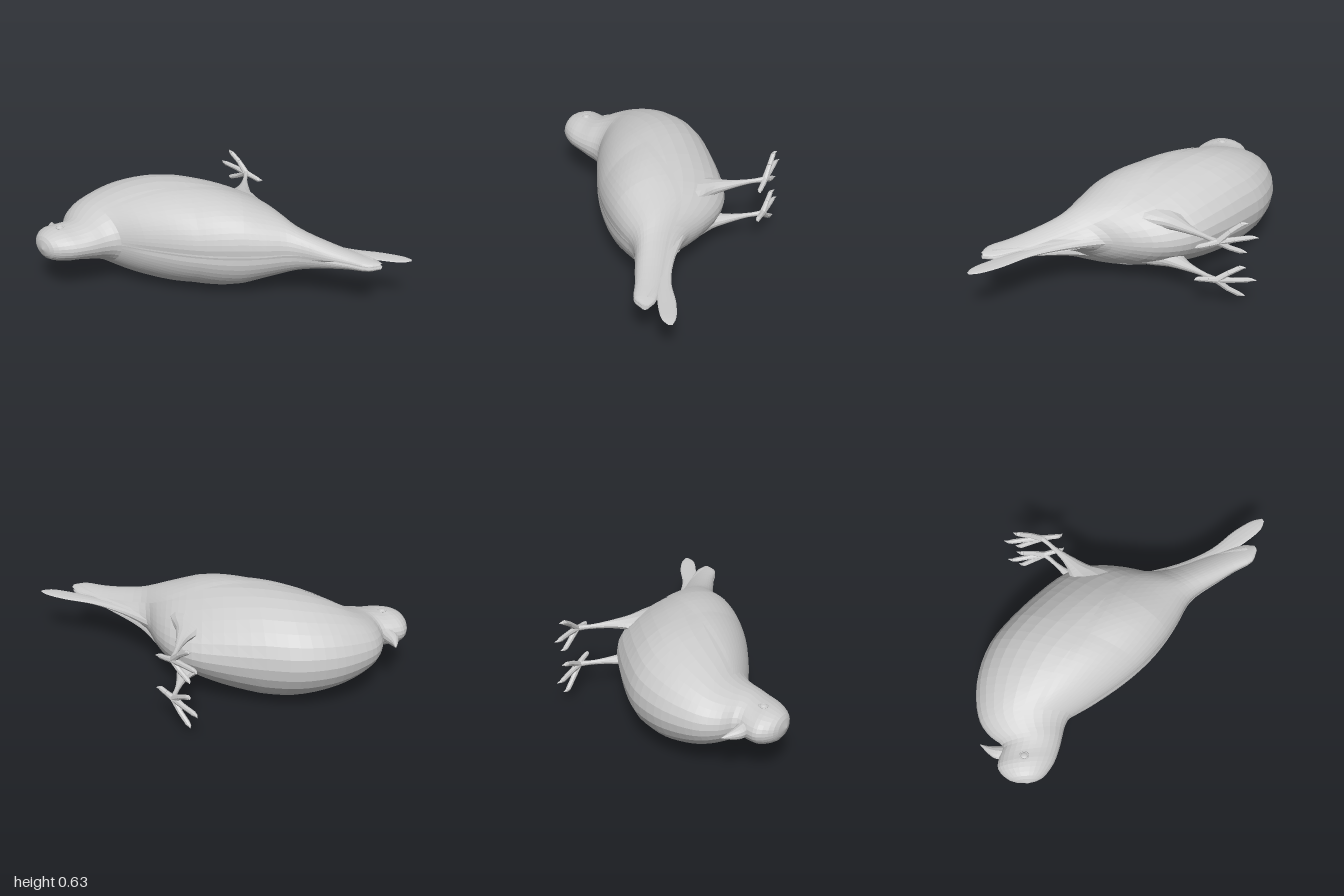
import * as THREE from 'three';

const material = new THREE.MeshStandardMaterial({ color: 0xcccccc, flatShading: true });
const thin = new THREE.MeshStandardMaterial({ color: 0xcccccc, flatShading: true, side: THREE.DoubleSide });

// Skin cross-sections [backX, backZ, frontX, frontZ, halfWidth]. ring(t, u) gives the
// angle (0 = back, PI = belly), scale, sideways shift and egg shape (wide back, narrow belly).
function loft(name, sections, steps, sides, ring, mat = material) {
  const back = new THREE.CatmullRomCurve3(sections.map(s => new THREE.Vector3(s[0], s[4], s[1])));
  const front = new THREE.CatmullRomCurve3(sections.map(s => new THREE.Vector3(s[2], s[4], s[3])));
  const positions = [], index = [];
  for (let i = 0; i <= steps; i++) {
    const t = i / steps, b = back.getPoint(t), f = front.getPoint(t);
    const mid = b.clone().add(f).multiplyScalar(0.5), half = b.clone().sub(mid);
    for (let j = 0; j <= sides; j++) {
      const { angle, scale = 1, shift = 0, egg = 0 } = ring(t, j / sides);
      const c = Math.cos(angle), s = Math.sin(angle) * (1 + egg * c);
      positions.push(mid.x + half.x * c * scale, Math.max(b.y, 0) * s * scale + shift, mid.z + half.z * c * scale);
      if (i < steps && j < sides) {
        const p = i * (sides + 1) + j, q = p + sides + 1;
        index.push(p, q, p + 1, p + 1, q, q + 1);
      }
    }
  }
  const geometry = new THREE.BufferGeometry();
  geometry.setAttribute('position', new THREE.Float32BufferAttribute(positions, 3));
  geometry.setIndex(index);
  geometry.computeVertexNormals();
  const mesh = new THREE.Mesh(geometry, mat);
  mesh.name = name;
  return mesh;
}

const fullRing = shift => (t, u) => ({ angle: u * Math.PI * 2, shift });

// Only the rear of the trunk is egg shaped, by section number
const eggAt = section => 0.25 * THREE.MathUtils.clamp((section - 10) / 2, 0, 1);

// Chain of tapered cylinders through points [x, y, z, radius]
function limb(name, points) {
  const group = new THREE.Group();
  group.name = name;
  for (let i = 0; i + 1 < points.length; i++) {
    const a = new THREE.Vector3(...points[i]), b = new THREE.Vector3(...points[i + 1]);
    const dir = b.clone().sub(a);
    const part = new THREE.Mesh(
      new THREE.CylinderGeometry(points[i + 1][3], points[i][3], dir.length(), 8), material);
    part.position.copy(a).addScaledVector(dir, 0.5);
    part.quaternion.setFromUnitVectors(new THREE.Vector3(0, 1, 0), dir.normalize());
    part.name = name + 'Segment';
    group.add(part);
  }
  return group;
}

export function createModel() {
  const model = new THREE.Group();
  model.name = 'bird';
  const bird = new THREE.Group(); // mirror plane of the bird at its local y = 0
  bird.name = 'lyingBird';
  bird.position.y = 0.32;
  model.add(bird);

  // Head, neck and body in one skin, from the crown to the rump
  const trunk = [
    [-0.75, 0.765, -0.75, 0.765, 0], [-0.66, 0.745, -0.86, 0.725, 0.07],
    [-0.58, 0.67, -0.915, 0.645, 0.1], [-0.535, 0.59, -0.90, 0.58, 0.106],
    [-0.505, 0.52, -0.87, 0.51, 0.122], [-0.475, 0.45, -0.935, 0.435, 0.148],
    [-0.43, 0.395, -0.98, 0.34, 0.183], [-0.32, 0.35, -0.985, 0.2, 0.235],
    [-0.2, 0.295, -0.95, 0.04, 0.28], [-0.08, 0.235, -0.85, -0.14, 0.31],
    [0.03, 0.17, -0.7, -0.28, 0.314], [0.14, 0.09, -0.5, -0.425, 0.298],
    [0.24, 0.0, -0.32, -0.525, 0.26], [0.33, -0.1, -0.15, -0.55, 0.213],
    [0.4, -0.2, 0.02, -0.515, 0.152], [0.47, -0.26, 0.2, -0.45, 0.095],
    [0.6, -0.33, 0.42, -0.46, 0.045], [0.72, -0.4, 0.66, -0.45, 0.01],
  ];
  bird.add(loft('body', trunk, 51, 28, (t, u) => ({ angle: u * Math.PI * 2, egg: eggAt(t * 17) })));

  // Beak, hooked down to a point
  bird.add(loft('beak', [
    [-0.8, 0.52, -0.82, 0.61, 0.05], [-0.88, 0.508, -0.925, 0.578, 0.038],
    [-0.945, 0.497, -0.965, 0.535, 0.024], [-0.998, 0.476, -1.0, 0.48, 0.002],
  ], 10, 12, fullRing(0)));

  // Narrow folded tail
  bird.add(loft('tail', [
    [0.15, -0.3, 0.1, -0.45, 0.05], [0.45, -0.4, 0.4, -0.475, 0.025],
    [0.65, -0.46, 0.63, -0.54, 0.014], [0.85, -0.545, 0.8, -0.637, 0.009],
    [0.97, -0.62, 0.93, -0.687, 0.007], [1.0, -0.67, 0.99, -0.69, 0.002],
  ], 20, 12, fullRing(0)));

  // Folded wings: shells that follow the flanks and run out into flat tips
  const wing = [
    ...trunk.slice(6, 14),
    [0.41, -0.2, 0.04, -0.5, 0.165], [0.48, -0.25, 0.25, -0.46, 0.118],
    [0.62, -0.31, 0.5, -0.485, 0.07], [0.75, -0.365, 0.68, -0.508, 0.042],
    [0.87, -0.41, 0.83, -0.527, 0.024], [0.91, -0.475, 0.9, -0.51, 0.012],
  ];
  for (const side of [1, -1]) {
    bird.add(loft(side > 0 ? 'upperWing' : 'lowerWing', wing, 39, 14, (t, u) => ({
      angle: side * (0.03 + u * (1.2 + 1.85 * t * t)),
      scale: 1 + 0.03 * Math.sqrt(Math.sin(Math.PI * Math.min(u, 0.9999))) * Math.min(1, t * 10),
      shift: side * 0.006 * t,
      egg: eggAt(6 + t * 13),
    }), thin));

    // Flight feathers layered inside the wing tip
    for (let k = 0; k < 2; k++) {
      const d = 0.03 * k;
      bird.add(loft('flightFeather', [
        [0.3, -0.24 - d, 0.2, -0.42, 0.012], [0.55, -0.34 - d, 0.5, -0.47, 0.008],
        [0.82 - d, -0.43 - d, 0.78 - d, -0.5, 0.005], [0.88 - d, -0.48, 0.87 - d, -0.5, 0.002],
      ], 10, 8, fullRing(side * (0.014 + 0.014 * k))));
    }

    // Eye with its ring, nearly flush with the head
    const eye = new THREE.Mesh(new THREE.SphereGeometry(0.021, 12, 8), material);
    eye.scale.y = 0.4;
    const lid = new THREE.Mesh(new THREE.TorusGeometry(0.024, 0.005, 6, 16), material);
    lid.rotation.x = Math.PI / 2;
    eye.name = 'eye';
    lid.name = 'eyeRing';
    for (const part of [eye, lid]) {
      part.position.set(-0.745, side * 0.102, 0.62);
      bird.add(part);
    }

    // Leg: a thigh emerging from the belly, thin at the ankle
    const y = side * 0.126;
    bird.add(loft('leg', [
      [0.1, -0.36, -0.27, -0.38, 0.07], [-0.02, -0.45, -0.29, -0.45, 0.05],
      [-0.145, -0.5, -0.3, -0.515, 0.037], [-0.225, -0.56, -0.325, -0.58, 0.026],
      [-0.345, -0.67, -0.395, -0.69, 0.014], [-0.4, -0.745, -0.45, -0.75, 0.018],
    ], 15, 12, fullRing(y)));

    // Three front toes and one hind toe, each ending in a claw: [length, sideways]
    for (const [dx, dy] of [[-0.235, 0.015], [-0.17, 0.112], [-0.17, -0.075], [0.135, -0.02]]) {
      const at = (f, bend, z, r) => [-0.425 + dx * f, y + side * dy * bend, z, r];
      bird.add(limb('toe', [
        at(0, 0, -0.746, 0.02), at(0.4, 0.55, -0.75, 0.016), at(0.78, 0.92, -0.75, 0.015),
        at(0.88, 0.97, -0.752, 0.01), at(1, 1, -0.764, 0.001),
      ]));
    }
  }
  return model;
}
